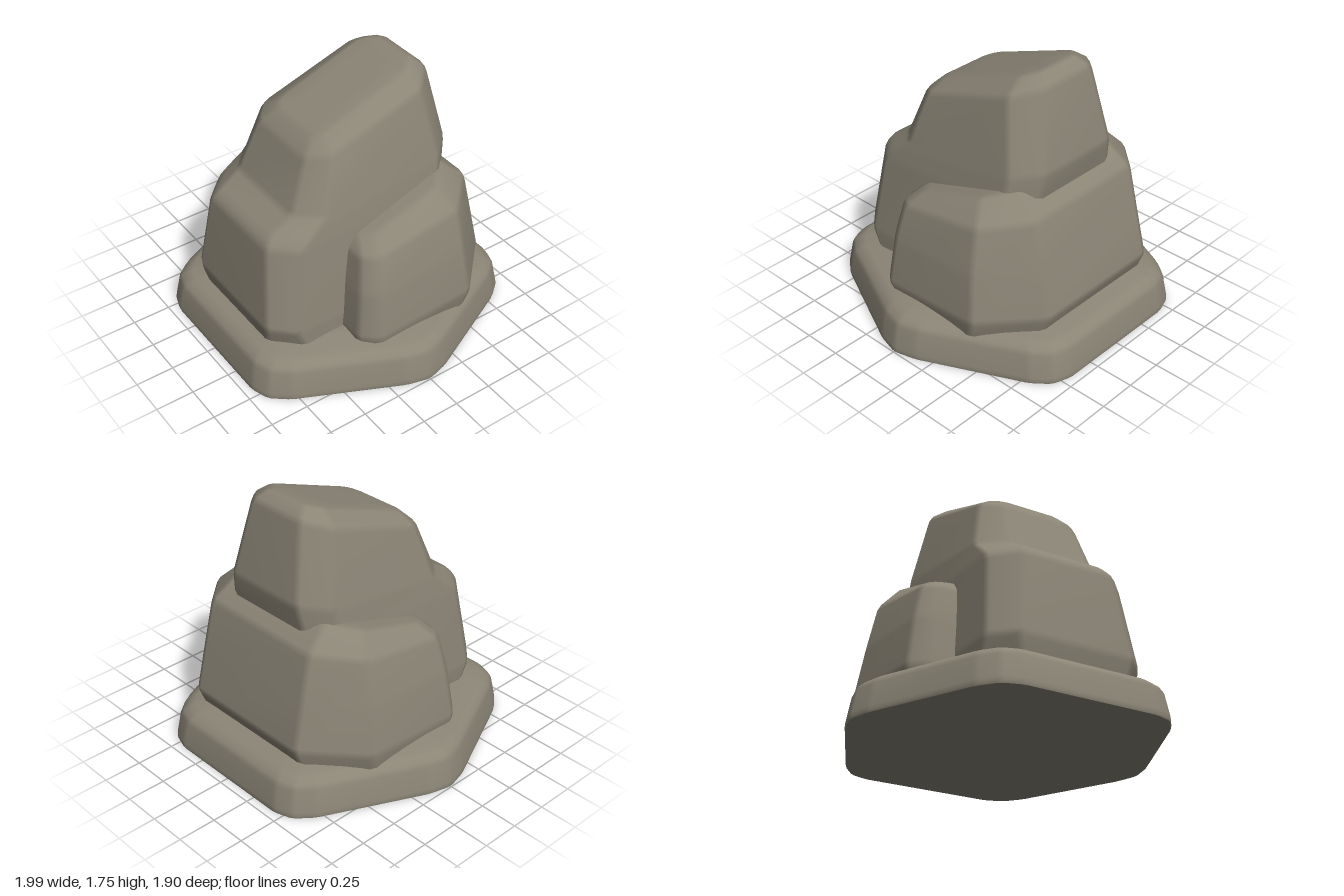
import * as THREE from 'three';

const stone = new THREE.MeshStandardMaterial({ color: 0x8b8576 });
stone.name = 'weathered stone';

// Point a little way from p toward q, used to soften every edge
function toward(p, q, d) {
  const len = p.distanceTo(q);
  return p.clone().lerp(q, len > 0 ? Math.min(0.3, d / len) : 0);
}

// Cut each corner of a closed ring into two points
function softenRing(ring, d) {
  const n = ring.length;
  return ring.flatMap((p, i) => [toward(p, ring[(i + n - 1) % n], d), toward(p, ring[(i + 1) % n], d)]);
}

function centreOf(ring) {
  return ring.reduce((s, p) => s.add(p), new THREE.Vector3()).divideScalar(ring.length);
}

// Skin a stack of rings (bottom to top) with softened edges and closed ends
function loft(name, rings, d) {
  const soft = rings.map(r => softenRing(r, d));
  const last = soft[soft.length - 1], mid = centreOf(last);
  soft.push(last.map(p => p.clone().lerp(mid, 0.5)));
  const layers = [soft[0]];
  for (let i = 1; i < soft.length - 1; i++) {
    layers.push(soft[i].map((p, j) => toward(p, soft[i - 1][j], d)));
    layers.push(soft[i].map((p, j) => toward(p, soft[i + 1][j], d)));
  }
  layers.push(soft[soft.length - 1]);

  const n = last.length, points = layers.flat(), index = [];
  for (let i = 0; i < layers.length - 1; i++) {
    for (let j = 0; j < n; j++) {
      const k = (j + 1) % n, a = i * n + j, b = i * n + k;
      index.push(a, b, b + n, a, b + n, a + n);
    }
  }
  // Top cap shares its rim; the underside has its own for a sharp edge
  const topStart = (layers.length - 1) * n, top = points.length;
  points.push(mid);
  const under = points.length;
  points.push(...layers[0], centreOf(layers[0]));
  for (let j = 0; j < n; j++) {
    const k = (j + 1) % n;
    index.push(top, topStart + j, topStart + k, under + n, under + k, under + j);
  }
  const geometry = new THREE.BufferGeometry().setFromPoints(points);
  geometry.setIndex(index);
  geometry.computeVertexNormals();
  const mesh = new THREE.Mesh(geometry, stone);
  mesh.name = name;
  return mesh;
}

// Rectangle with cut corners whose height tilts from front to back
function blockRing([yf, yb, xl, xr, zf, zb, cf, cb]) {
  return [
    [xr - cf, zf], [xr, zf - cf], [xr, zb + cb], [xr - cb, zb],
    [xl + cb, zb], [xl, zb + cb], [xl, zf - cf], [xl + cf, zf],
  ].map(([x, z]) => new THREE.Vector3(x, yf + (yb - yf) * (zf - z) / (zf - zb), z));
}

export function createModel() {
  const model = new THREE.Group();
  model.name = 'stoneMonument';

  // Six-sided plinth with worn corners
  const quarter = [[0.44, 0.95], [0.56, 0.91], [0.65, 0.8], [0.96, 0.15]];
  const flip = quarter.slice().reverse();
  const outline = [
    ...quarter, [1, 0], ...flip.map(([x, z]) => [x, -z]),
    ...quarter.map(([x, z]) => [-x, -z]), [-1, 0], ...flip.map(([x, z]) => [-x, z]),
  ];
  const plinthLayers = [[0, 0.995], [0.02, 1], [0.2, 0.965], [0.25, 0.9], [0.285, 0.72]];
  model.add(loft('plinth', plinthLayers.map(([y, s]) =>
    outline.map(([x, z]) => new THREE.Vector3(x * s, y, z * s))), 0.02));

  // Lower block wrapping the back and both sides
  model.add(loft('surroundingBlock', [
    [0.22, 0.22, -0.76, 0.77, 0.32, -0.73, 0.09, 0.3],
    [0.29, 0.36, -0.78, 0.795, 0.34, -0.79, 0.1, 0.33],
    [0.6, 0.66, -0.73, 0.75, 0.305, -0.72, 0.09, 0.29],
    [0.83, 0.97, -0.67, 0.69, 0.265, -0.65, 0.08, 0.24],
    [0.905, 1.115, -0.55, 0.56, 0.2, -0.48, 0.08, 0.16],
  ].map(blockRing), 0.025));

  // Tall tower with a front ledge and sloping top
  model.add(loft('tower', [
    [0.22, 0.22, -0.51, 0.54, 0.77, -0.55, 0.18, 0.15],
    [0.38, 0.38, -0.515, 0.54, 0.805, -0.55, 0.14, 0.15],
    [0.92, 0.96, -0.46, 0.48, 0.74, -0.56, 0.16, 0.15],
    [0.985, 1.03, -0.45, 0.47, 0.69, -0.57, 0.18, 0.15],
    [1.07, 1.2, -0.435, 0.45, 0.54, -0.6, 0.15, 0.16],
    [1.4, 1.69, -0.35, 0.36, 0.41, -0.5, 0.11, 0.15],
    [1.495, 1.76, -0.22, 0.23, 0.32, -0.41, 0.05, 0.08],
  ].map(blockRing), 0.025));

  return model;
}
